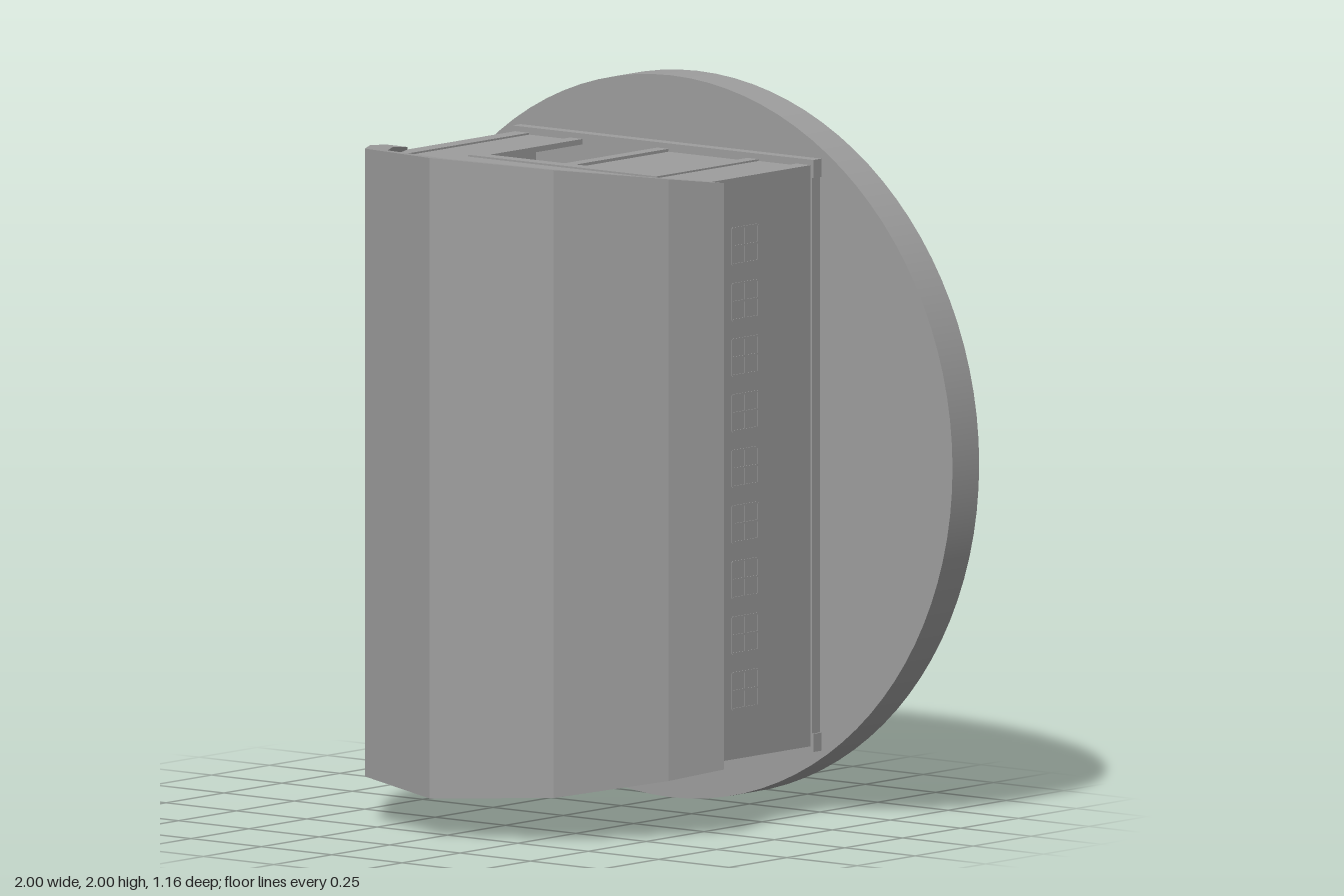
import * as THREE from 'three';

const material = new THREE.MeshStandardMaterial({ color: 0x9d9d9d, flatShading: true });
const smooth = new THREE.MeshStandardMaterial({ color: 0x9d9d9d });

// Prism from an (x, z) outline, running along y from y0 to y1
function prism(points, y0, y1, holes = []) {
  const flat = (list) => list.map(([x, z]) => new THREE.Vector2(x, -z));
  const shape = new THREE.Shape(flat(points));
  holes.forEach((h) => shape.holes.push(new THREE.Path(flat(h))));
  const geo = new THREE.ExtrudeGeometry(shape, { depth: y1 - y0, bevelEnabled: false });
  return geo.rotateX(-Math.PI / 2).translate(0, y0, 0);
}

// Mirror half an outline (listed from +x to the ridge) across x = 0
const mirrored = (half) => [
  ...half,
  ...half.filter(([x]) => x > 0).reverse().map(([x, z]) => [-x, z]),
];

const rect = (x0, x1, z0, z1) => [[x0, z0], [x1, z0], [x1, z1], [x0, z1]];

function add(parent, name, geo, mat = material) {
  const mesh = new THREE.Mesh(geo, mat);
  mesh.name = name;
  parent.add(mesh);
}

// Box given by its minimum and maximum on each axis
function box(parent, name, x0, x1, y0, y1, z0, z1) {
  const geo = new THREE.BoxGeometry(x1 - x0, y1 - y0, z1 - z0);
  add(parent, name, geo.translate((x0 + x1) / 2, (y0 + y1) / 2, (z0 + z1) / 2));
}

// Thin window grid in the local xy plane, facing +z
function windowGrid(name, w, h, cols, rows) {
  const group = new THREE.Group();
  group.name = name;
  const t = 0.005;
  const d = 0.002;
  for (let i = 0; i <= cols; i++) {
    const x = -w / 2 + (w * i) / cols;
    box(group, 'upright', x - t / 2, x + t / 2, -h / 2, h / 2, -d, d);
  }
  for (let j = 0; j <= rows; j++) {
    const y = -h / 2 + (h * j) / rows;
    box(group, 'crossbar', -w / 2, w / 2, y - t / 2, y + t / 2, -d, d);
  }
  return group;
}

// End wall with open and closed door halves, trim and windows; outer face at local y = 0.8
function createEndWall() {
  const end = new THREE.Group();
  end.name = 'endWall';
  const outline = mirrored([[0.525, -0.465], [0.525, 0.06], [0.49, 0.17], [0.3, 0.42], [0, 0.53]]);
  add(end, 'wall', prism(outline, 0.75, 0.8, [
    rect(-0.285, -0.02, -0.435, -0.03),
    rect(0.02, 0.3, -0.435, -0.03),
  ]));
  box(end, 'closedDoor', 0.02, 0.3, 0.76, 0.797, -0.435, -0.03);

  // Raised boards around the doorway and at the corners
  const y0 = 0.79;
  const y1 = 0.805;
  box(end, 'doorJamb', -0.33, -0.285, y0, y1, -0.44, -0.03);
  box(end, 'doorJamb', 0.3, 0.34, y0, y1, -0.44, -0.03);
  box(end, 'doorPost', -0.02, 0.02, y0, y1, -0.44, -0.03);
  box(end, 'doorHeader', -0.33, 0.34, y0, y1, -0.03, 0.01);
  for (const s of [-1, 1]) {
    const board = [[0.475, -0.44], [0.525, -0.44], [0.525, 0.06], [0.475, 0.16]];
    add(end, 'cornerBoard', prism(board.map(([x, z]) => [s * x, z]), y0, y1));
  }
  box(end, 'baseBoard', -0.535, 0.535, 0.77, 0.82, -0.465, -0.43);

  // Loft windows
  const windows = [[0, 0.32, 0.24, 0.24, 4, 3], [-0.26, 0.285, 0.09, 0.09, 2, 2], [0.26, 0.285, 0.09, 0.09, 2, 2]];
  for (const [x, z, w, h, cols, rows] of windows) {
    const grid = windowGrid('loftWindow', w, h, cols, rows);
    grid.rotation.x = -Math.PI / 2;
    grid.position.set(x, 0.8, z);
    end.add(grid);
  }
  return end;
}

export function createModel() {
  const model = new THREE.Group();
  model.name = 'barnOnDisc';
  const middle = 0.997;

  // Round base, standing on its edge behind the barn
  const disc = new THREE.CylinderGeometry(1, 1, 0.115, 96);
  add(model, 'roundBase', disc.rotateX(Math.PI / 2).translate(0, 1, -0.5225), smooth);

  // Gambrel roof shell whose overhang grows towards the ridge
  const outer = mirrored([[0.6, 0.035], [0.53, 0.19], [0.335, 0.45], [0, 0.577]]);
  const inner = mirrored([[0.525, 0.035], [0.475, 0.16], [0.295, 0.4], [0, 0.505]]);
  const roof = prism([...outer, ...inner.reverse()], -1, 1);
  const p = roof.attributes.position;
  for (let i = 0; i < p.count; i++) {
    const reach = 0.812 + 0.139 * (p.getZ(i) - 0.035);
    p.setY(i, middle + Math.sign(p.getY(i)) * reach);
  }
  roof.computeVertexNormals();
  add(model, 'roof', roof);

  // Two end walls, the second turned over by mirroring
  for (const s of [1, -1]) {
    const end = createEndWall();
    end.scale.y = s;
    end.position.y = middle;
    model.add(end);
  }

  // Side walls, each with a low board and a row of nine windows
  for (const s of [-1, 1]) {
    const side = (name, a, b, z1) =>
      box(model, name, Math.min(s * a, s * b), Math.max(s * a, s * b), 0.22, 1.775, -0.465, z1);
    side('sideWall', 0.48, 0.525, 0.09);
    side('sideBaseBoard', 0.52, 0.529, -0.43);
    for (let i = 0; i < 9; i++) {
      const grid = windowGrid('sideWindow', 0.11, 0.1, 2, 2);
      grid.rotation.y = (s * Math.PI) / 2;
      grid.position.set(s * 0.525, middle + (i - 4) * 0.154, -0.145);
      model.add(grid);
    }
  }
  return model;
}
